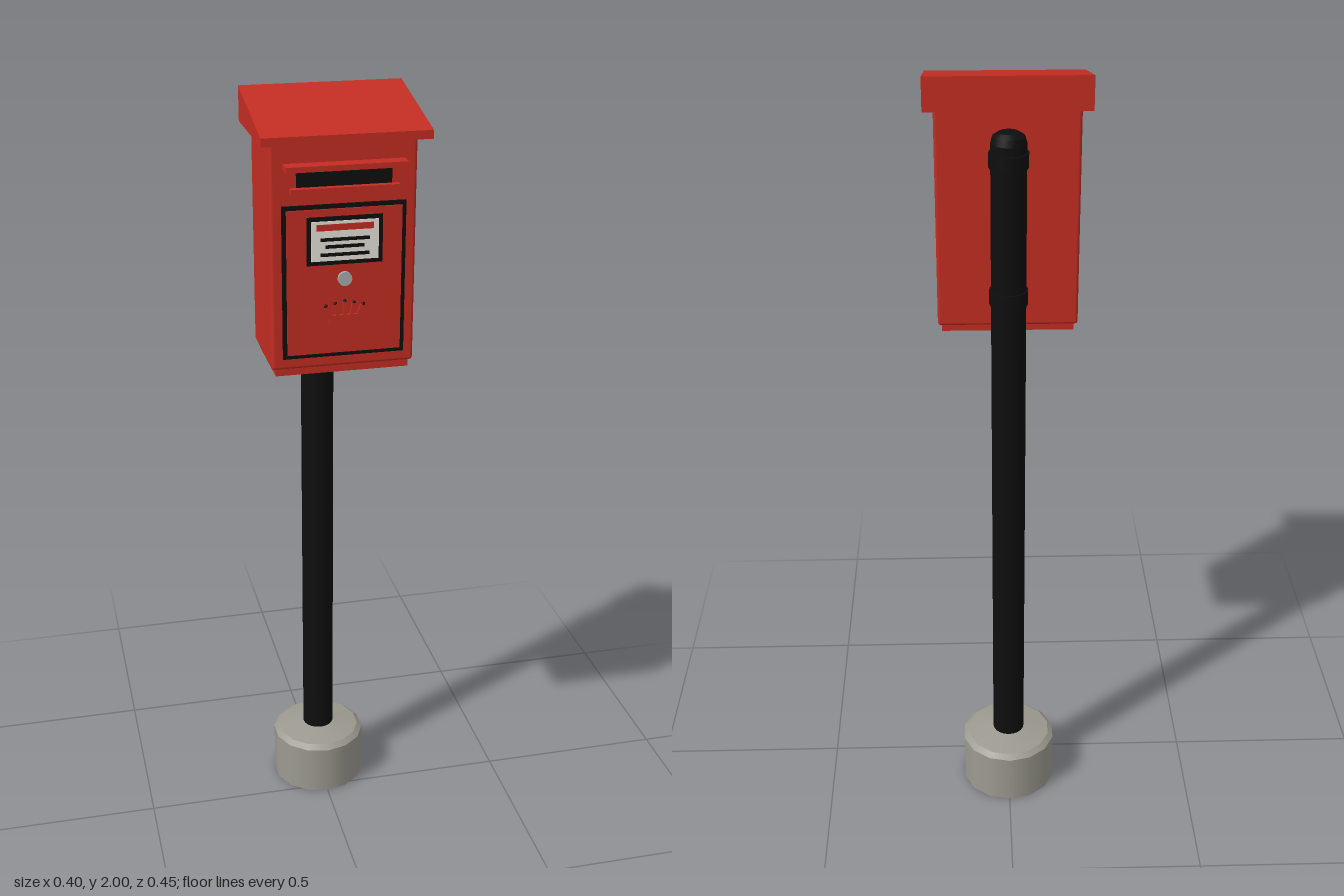
import * as THREE from 'three';
import { RoundedBoxGeometry } from 'three/addons/geometries/RoundedBoxGeometry.js';

const mat = (name, color) => {
  const m = new THREE.MeshStandardMaterial({ color });
  m.name = name;
  return m;
};

export function createModel() {
  const red = mat('post red', 0xc42d23);
  const black = mat('black', 0x0e0e0e);
  const concrete = mat('concrete grey', 0x9c9a90);
  const white = mat('label white', 0xe6e4da);
  const silver = mat('lock silver', 0xa8acae);

  const model = new THREE.Group();
  model.name = 'mailbox';

  const add = (name, geometry, material, x = 0, y = 0, z = 0) => {
    const mesh = new THREE.Mesh(geometry, material);
    mesh.name = name;
    mesh.position.set(x, y, z);
    model.add(mesh);
    return mesh;
  };
  // Box given by half width, y range and z range
  const block = (name, material, hx, y0, y1, z0, z1, x = 0) =>
    add(name, new THREE.BoxGeometry(hx * 2, y1 - y0, z1 - z0), material, x, (y0 + y1) / 2, (z0 + z1) / 2);
  // Upright drum given by its bottom and top radius and y range
  const postZ = -0.1;
  const drum = (name, material, r0, r1, y0, y1, sides, open = false) =>
    add(name, new THREE.CylinderGeometry(r1, r0, y1 - y0, sides, 1, open), material, 0, (y0 + y1) / 2, postZ);

  // Concrete foot with chamfered rim and slightly domed top
  drum('foot', concrete, 0.127, 0.127, 0, 0.138, 14);
  drum('footChamfer', concrete, 0.127, 0.113, 0.138, 0.15, 14, true);
  drum('footTop', concrete, 0.113, 0.04, 0.15, 0.163, 14);

  // Post with rounded cap
  drum('post', black, 0.0425, 0.0425, 0.1, 1.86, 20);
  drum('postCapRim', black, 0.0425, 0.038, 1.86, 1.876, 20);
  drum('postCapTop', black, 0.038, 0.024, 1.876, 1.885, 20);

  // Clamps that hold the box to the post
  for (const y of [1.82, 1.48]) {
    drum('clampRing', black, 0.047, 0.047, y - 0.018, y + 0.018, 20);
    block('clampArm', black, 0.035, y - 0.02, y + 0.02, -0.07, -0.035);
  }

  // Box body and bottom plinth
  add('body', new RoundedBoxGeometry(0.346, 0.555, 0.228, 2, 0.008), red, 0, 1.6525, 0.076);
  block('plinth', red, 0.163, 1.357, 1.378, -0.027, 0.181);

  // Sloping roof, extruded across x from its side outline
  const side = new THREE.Shape([
    new THREE.Vector2(-0.227, 1.917), new THREE.Vector2(0.053, 1.917),
    new THREE.Vector2(0.053, 2), new THREE.Vector2(-0.227, 1.937),
  ]);
  const roof = new THREE.ExtrudeGeometry(side, { depth: 0.396, bevelEnabled: false });
  roof.translate(0, 0, -0.198).rotateY(Math.PI / 2);
  add('roof', roof, red);

  // Letter slot with hood and sill
  block('slot', black, 0.112, 1.814, 1.852, 0.186, 0.194);
  block('slotHood', red, 0.142, 1.856, 1.869, 0.185, 0.227);
  block('slotSill', red, 0.128, 1.8, 1.813, 0.185, 0.207);

  // Door: dark surround and red panel
  block('doorSurround', black, 0.147, 1.403, 1.772, 0.186, 0.195);
  block('doorPanel', red, 0.137, 1.413, 1.762, 0.19, 0.199);

  // Notice label with heading strip and ruled lines
  block('labelFrame', black, 0.09, 1.631, 1.745, 0.196, 0.202);
  block('labelCard', white, 0.08, 1.641, 1.735, 0.198, 0.204);
  block('labelHeading', red, 0.068, 1.713, 1.728, 0.2, 0.2055);
  [[1.692, 0.058], [1.675, 0.046], [1.656, 0.058]].forEach(([y, hx]) =>
    block('labelLine', black, hx, y - 0.004, y + 0.004, 0.2, 0.2055));

  // Round lock
  const lock = add('lock', new THREE.CylinderGeometry(0.017, 0.017, 0.012, 16), silver, 0, 1.596, 0.201);
  lock.rotation.x = Math.PI / 2;

  // Small fan ornament: a bar with five raised rods
  block('ornamentBar', red, 0.036, 1.485, 1.508, 0.196, 0.206);
  for (let i = -2; i <= 2; i++) {
    const top = 1.541 - Math.abs(i) * 0.005;
    const rod = block('ornamentRod', red, 0.004, 1.506, top, 0.196, 0.206, i * 0.019);
    rod.rotation.z = -i * 0.17;
    add('ornamentTip', new THREE.SphereGeometry(0.0045, 8, 6), black, i * 0.0225, top, 0.202);
  }

  return model;
}
